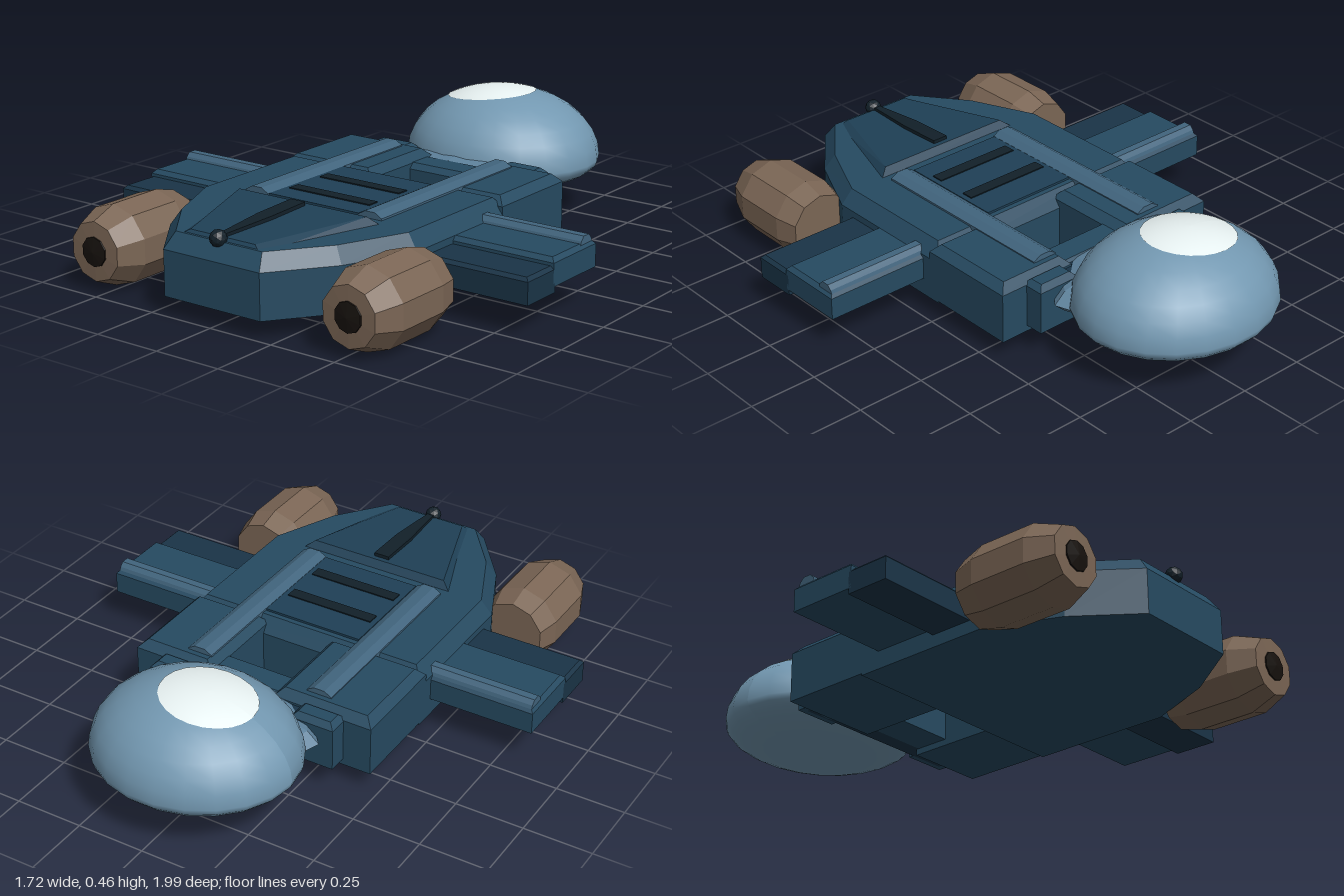
import * as THREE from 'three';

const mat = (color, flatShading = true) =>
  new THREE.MeshStandardMaterial({ color, flatShading, side: THREE.DoubleSide });

const M = {
  hull: mat(0x264a61), panel: mat(0x1f4056), dark: mat(0x1a3447), slot: mat(0x122029),
  rail: mat(0x41647d), collar: mat(0x5d819b), dome: mat(0x7398b1, false), cap: mat(0xe9f3f3, false),
  engine: mat(0x7b6655), nozzle: mat(0x17120e),
};

// Joins convex rings (counterclockwise from above) of [x, y, z] points into a closed solid
function loft(rings) {
  const n = rings[0].length, pos = [], tri = (...p) => p.forEach((v) => pos.push(...v));
  for (let r = 0; r < rings.length - 1; r++) {
    for (let i = 0; i < n; i++) {
      const j = (i + 1) % n, a = rings[r], b = rings[r + 1];
      tri(a[i], a[j], b[j]);
      tri(a[i], b[j], b[i]);
    }
  }
  const low = rings[0], top = rings[rings.length - 1];
  for (let i = 1; i < n - 1; i++) {
    tri(low[0], low[i + 1], low[i]);
    tri(top[0], top[i], top[i + 1]);
  }
  const g = new THREE.BufferGeometry();
  g.setAttribute('position', new THREE.Float32BufferAttribute(pos, 3));
  g.computeVertexNormals();
  return g;
}

// Rectangle ring and symmetric outline ring ([half width, z] from back to front)
const rect = (x0, x1, z0, z1, y) => [[x1, y, z0], [x0, y, z0], [x0, y, z1], [x1, y, z1]];
const outline = (half, y) => {
  const h = (z, i) => (Array.isArray(y) ? y[i] : y);
  const left = half.map(([x, z], i) => [-x, h(z, i), z]);
  const right = half.map(([x, z], i) => [x, h(z, i), z]).reverse();
  return [...left, ...right];
};

// Box with a bevelled upper edge
function bevelBox(x0, x1, y0, y1, z0, z1, b = 0.02) {
  return loft([rect(x0, x1, z0, z1, y0), rect(x0, x1, z0, z1, y1 - b),
    rect(x0 + b, x1 - b, z0 + b, z1 - b, y1)]);
}

function box(x0, x1, y0, y1, z0, z1) {
  return new THREE.BoxGeometry(x1 - x0, y1 - y0, z1 - z0)
    .translate((x0 + x1) / 2, (y0 + y1) / 2, (z0 + z1) / 2);
}

// Revolved profile of [radius, z] points, axis along z
function turned(profile, sides) {
  return new THREE.LatheGeometry(profile.map(([r, z]) => new THREE.Vector2(r, z)), sides)
    .rotateX(Math.PI / 2);
}

// Flattened ball with a tall upper half and a shallow lower half
function domeShape(g, scale = 1) {
  const p = g.attributes.position;
  for (let i = 0; i < p.count; i++) {
    const y = p.getY(i);
    p.setXYZ(i, p.getX(i) * 0.37 * scale, y * (y > 0 ? 0.25 : 0.11) * scale, p.getZ(i) * 0.33 * scale);
  }
  g.computeVertexNormals();
  return g.translate(0, 0.207, -0.67);
}

export function createModel() {
  const model = new THREE.Group();
  model.name = 'spacecraft';
  const add = (name, geometry, material, parent = model) => {
    const mesh = new THREE.Mesh(geometry, material);
    mesh.name = name;
    parent.add(mesh);
    return mesh;
  };

  // Main hull with bevelled deck
  const edge = [[0.47, 0], [0.47, 0.53], [0.36, 0.78], [0.2, 0.99]];
  const deck = [[0.43, 0.04], [0.43, 0.52], [0.325, 0.76], [0.18, 0.95]];
  add('hull', loft([outline(edge, 0.06), outline(edge, 0.22), outline(deck, 0.275)]), M.hull);

  // Raised nose plate with spine and bead
  const noseBase = [[0.315, 0.5], [0.17, 0.95]], noseTop = [[0.27, 0.53], [0.135, 0.93]];
  add('nosePlate', loft([outline(noseBase, 0.265), outline(noseTop, [0.3, 0.285])]), M.panel);
  const spine = [[0.03, 0.55], [0.03, 0.72], [0.01, 0.95]];
  add('noseSpine', loft([outline(spine, 0.27), outline(spine, [0.312, 0.306, 0.295])]), M.slot);
  add('noseBead', new THREE.IcosahedronGeometry(0.03, 1).translate(0, 0.285, 0.95), M.slot);

  // Deck panel with two vents
  add('deckPanel', box(-0.19, 0.19, 0.26, 0.283, 0.06, 0.47), M.panel);
  for (const z of [0.197, 0.362]) {
    add('deckVent', box(-0.17, 0.17, 0.27, 0.287, z - 0.023, z + 0.023), M.slot);
  }

  // Rear blocks either side of the open well
  add('rearBlockRight', bevelBox(-0.47, -0.09, 0.067, 0.278, -0.34, 0.04, 0.03), M.hull);
  add('rearBlockLeft', bevelBox(0.165, 0.47, 0.067, 0.278, -0.34, 0.04, 0.03), M.hull);
  add('rearBridge', bevelBox(-0.2, 0.2, 0.09, 0.25, -0.33, -0.2), M.hull);
  add('sternPlate', box(-0.34, 0.34, 0.09, 0.24, -0.39, -0.3), M.dark);
  for (const s of [-1, 1]) {
    const [a, b] = [s * 0.2, s * 0.365].sort((p, q) => p - q);
    add('sternBlock', bevelBox(a, b, 0.09, 0.265, -0.41, -0.32, 0.02), M.hull);
  }

  // Flared collar and dome
  const collar = turned([[0, -0.5], [0.31, -0.5], [0.33, -0.44], [0.22, -0.31], [0, -0.31]], 12)
    .scale(1, 0.23, 1);
  // keep the collar's wide end on the dome side
  add('domeCollar', collar.translate(0, 0.2, 0), M.collar);
  add('dome', domeShape(new THREE.SphereGeometry(1, 22, 16)), M.dome);
  const cap = new THREE.SphereGeometry(1, 22, 6, 0, Math.PI * 2, 0, 0.48).rotateZ(0.16);
  add('domeCap', domeShape(cap, 1.006), M.cap);

  for (const s of [-1, 1]) {
    const side = new THREE.Group();
    side.name = s > 0 ? 'leftSide' : 'rightSide';
    model.add(side);
    const span = (a, b) => (s > 0 ? [a, b] : [-b, -a]);

    // Deck rail
    const [r0, r1] = span(0.192, 0.288);
    add('deckRail', loft([rect(r0, r1, -0.29, 0.475, 0.26), rect(r0, r1, -0.29, 0.475, 0.282),
      rect(r0 + 0.028, r1 - 0.028, -0.29, 0.475, 0.298)]), M.rail, side);

    // Wing: rear panel, lower front slab and ridge
    const [w0, w1] = span(0.45, 0.86);
    add('wingPanel', bevelBox(w0, w1, 0.125, 0.22, 0.075, 0.33, 0.015), M.hull, side);
    add('wingFront', bevelBox(w0, w1, 0.105, 0.195, 0.32, 0.48, 0.012), M.dark, side);
    const [g0, g1] = span(0.45, 0.85);
    add('wingRidge', loft([rect(g0, g1, 0.08, 0.16, 0.2), rect(g0, g1, 0.09, 0.15, 0.228),
      rect(g0, g1, 0.105, 0.135, 0.243)]), M.rail, side);

    // Engine pod with dark nozzle
    const engine = new THREE.Group();
    engine.name = 'engine';
    engine.position.set(s * 0.53, 0.14, 0);
    side.add(engine);
    add('engineBody', turned([[0, 0.575], [0.12, 0.575], [0.143, 0.66], [0.143, 0.87],
      [0.105, 0.965], [0, 0.97]], 10), M.engine, engine);
    add('engineNozzle', turned([[0.056, 0.95], [0.052, 0.972], [0, 0.98]], 10), M.nozzle, engine);
  }
  return model;
}
